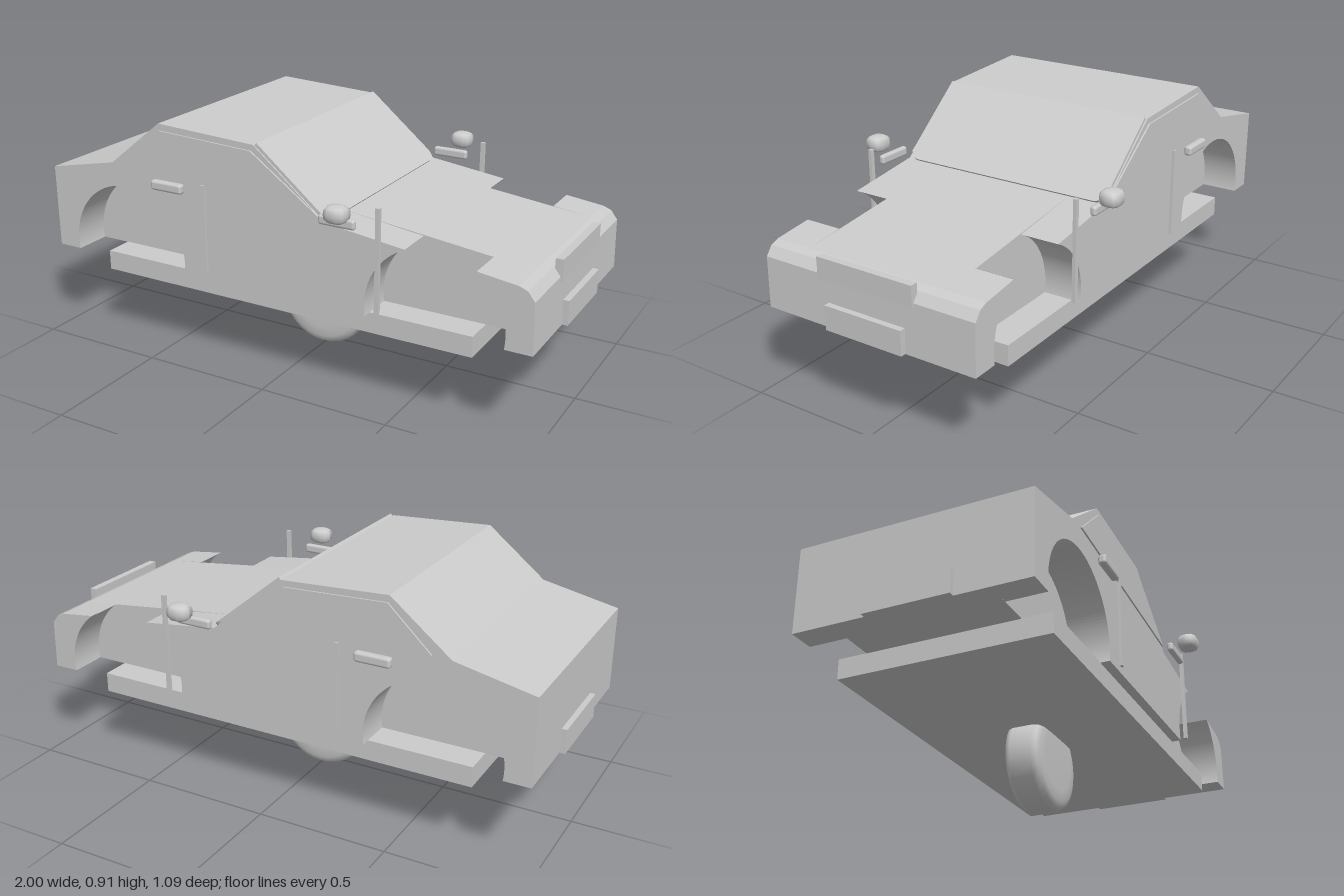
import * as THREE from 'three';
import { RoundedBoxGeometry } from 'three/addons/geometries/RoundedBoxGeometry.js';

const HALF = 0.43;     // half width of the body
const INNER = 0.285;   // inner wall of the wheel arches
const R = 0.255, AX = 0.63, AY = 0.39, A0 = 0.157; // wheel arch circle

export function createModel() {
  const model = new THREE.Group();
  const mat = new THREE.MeshStandardMaterial({ color: 0xcccccc });

  const add = (name, geo, x = 0, y = 0, z = 0) => {
    const mesh = new THREE.Mesh(geo, mat);
    mesh.name = name;
    mesh.position.set(x, y, z);
    model.add(mesh);
    return mesh;
  };
  // box given by its limits
  const box = (name, x0, x1, y0, y1, z0, z1) =>
    add(name, new THREE.BoxGeometry(x1 - x0, y1 - y0, z1 - z0), (x0 + x1) / 2, (y0 + y1) / 2, (z0 + z1) / 2);
  // side profile extruded between two z values
  const slab = (name, shape, z0, z1) =>
    add(name, new THREE.ExtrudeGeometry(shape, { depth: z1 - z0, bevelEnabled: false, curveSegments: 40 }), 0, 0, z0);
  const polygon = (pts) => new THREE.Shape(pts.map(([x, y]) => new THREE.Vector2(x, y)));

  const rearTop = [[-0.98, 0.35], [-0.98, 0.67], [-0.69, 0.73], [-0.465, 0.91], [-0.06, 0.89], [0.22, 0.66]];
  const nose = [[0.92, 0.58], [0.95, 0.568], [0.975, 0.535], [0.98, 0.35]];

  // Body core between the wheel arches
  slab('bodyCore', polygon([...rearTop, ...nose]), -INNER, INNER);

  // Side of the body with the rear arch and half of the front arch
  const side = polygon(rearTop);
  side.lineTo(0.52, 0.622);
  side.absarc(AX, AY, R, 2.01, Math.PI + A0, false);
  side.lineTo(-0.378, 0.35);
  side.absarc(-AX, AY, R, -A0, Math.PI + A0, false);
  side.closePath();

  // Nose corner ahead of the front arch
  const corner = polygon([...nose].reverse());
  corner.lineTo(0.776, 0.598);
  corner.absarc(AX, AY, R, 0.96, -A0, true);
  corner.closePath();

  // Side window panel
  const sideWindow = polygon([[-0.62, 0.735], [-0.46, 0.885], [-0.07, 0.868], [0.2, 0.678]]);

  // Rounded mirror head with few sides
  const mirrorGeo = new THREE.SphereGeometry(1, 10, 8);
  const p = mirrorGeo.attributes.position;
  const squash = (v, half) => Math.sign(v) * Math.pow(Math.abs(v), 0.7) * half;
  for (let i = 0; i < p.count; i++) {
    p.setXYZ(i, squash(p.getX(i), 0.043), squash(p.getY(i), 0.031), squash(p.getZ(i), 0.04));
  }
  mirrorGeo.computeVertexNormals();

  for (const s of [1, -1]) {
    const tag = s > 0 ? 'Front' : 'Back';
    const span = (a, b) => (s > 0 ? [a, b] : [-b, -a]);
    slab('bodySide' + tag, side, ...span(INNER, HALF));
    slab('noseCorner' + tag, corner, ...span(INNER, HALF));
    slab('sideWindow' + tag, sideWindow, ...span(HALF - 0.005, HALF + 0.006));
    // Door seams
    box('rearDoorStrip' + tag, -0.284, -0.268, 0.375, 0.71, ...span(HALF - 0.005, HALF + 0.01));
    box('frontDoorStrip' + tag, 0.42, 0.436, 0.375, 0.75, ...span(HALF, HALF + 0.013));
    // Handle, mirror arm and mirror head
    add('doorHandle' + tag, new RoundedBoxGeometry(0.135, 0.037, 0.03, 2, 0.01), -0.42, 0.686, s * 0.451);
    add('mirrorArm' + tag, new RoundedBoxGeometry(0.14, 0.036, 0.024, 2, 0.01), 0.285, 0.683, s * 0.456);
    add('mirror' + tag, mirrorGeo, 0.311, 0.73, s * 0.504);
  }

  // Windscreen with rounded lower corners, laid on the slope
  const W = 0.425, L = 0.365, c = 0.05;
  const glass = new THREE.Shape();
  glass.moveTo(-W, L);
  glass.lineTo(-W, c);
  glass.quadraticCurveTo(-W, 0, -W + c, 0);
  glass.lineTo(W - c, 0);
  glass.quadraticCurveTo(W, 0, W, c);
  glass.lineTo(W, L);
  glass.closePath();
  const glassGeo = new THREE.ExtrudeGeometry(glass, { depth: 0.012, bevelEnabled: false });
  const up = new THREE.Vector3(-0.28, 0.23, 0).normalize();
  const out = new THREE.Vector3(up.y, -up.x, 0);
  glassGeo.applyMatrix4(new THREE.Matrix4().makeBasis(new THREE.Vector3(0, 0, -1), up, out));
  add('windscreen', glassGeo, 0.225, 0.656, 0);

  // Grille and number plates
  box('grille', 0.954, 0.982, 0.52, 0.597, -0.195, 0.195);
  box('nosePlate', 0.97, 1.0, 0.35, 0.44, -0.158, 0.158);
  box('tailPlate', -1.0, -0.97, 0.35, 0.44, -0.158, 0.158);

  // Floor slab under the body
  box('floor', -0.765, 0.76, 0.275, 0.351, -0.395, 0.395);

  // Central wheel with rounded shoulders
  const tyre = [[0, -0.073], [0.11, -0.073], [0.15, -0.07], [0.172, -0.06], [0.182, -0.04],
    [0.182, 0.04], [0.172, 0.06], [0.15, 0.07], [0.11, 0.073], [0, 0.073]];
  const wheelGeo = new THREE.LatheGeometry(tyre.map(([r, y]) => new THREE.Vector2(r, y)), 32);
  wheelGeo.rotateX(Math.PI / 2);
  add('wheel', wheelGeo, -0.003, 0.182, 0);

  return model;
}
